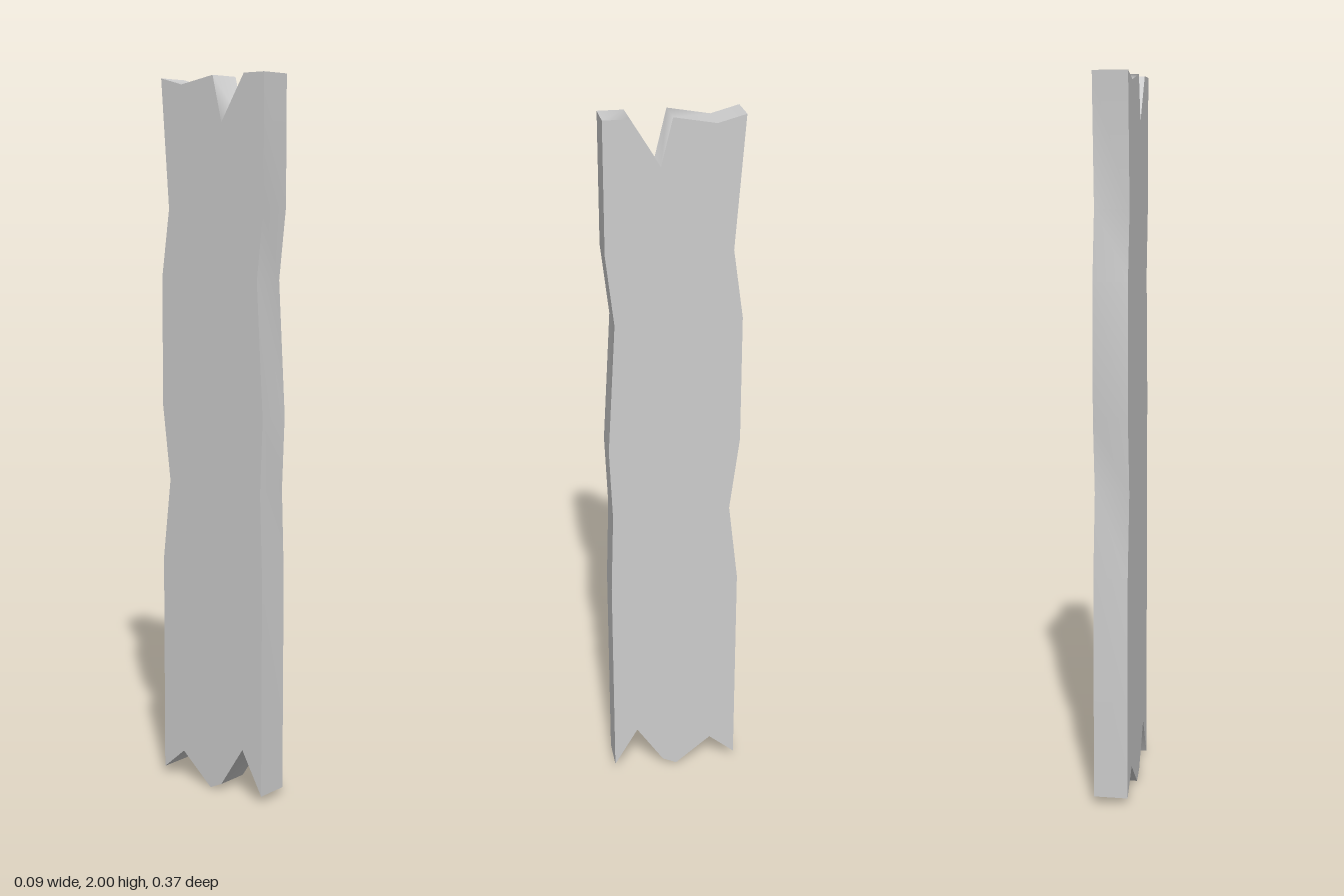
import * as THREE from 'three';

const HALF = 0.0475; // half thickness of the plank

// Outline runs, counterclockwise, as [-z, y] points
const bottomEnd = [[-0.183, 0.02], [-0.114, 0.14], [-0.036, 0.02], [0.005, 0], [0.108, 0.085], [0.183, 0.02]];
const backEdge = [[0.183, 0.02], [0.183, 0.65], [0.156, 0.88], [0.183, 1.095], [0.183, 1.455], [0.156, 1.645], [0.183, 2]];
const topEnd = [[0.183, 2], [0.108, 1.98], [-0.005, 2], [-0.036, 1.875], [-0.114, 2], [-0.183, 2]];
const frontEdge = [[-0.183, 2], [-0.183, 1.65], [-0.161, 1.455], [-0.183, 1.085], [-0.175, 0.88], [-0.183, 0.645], [-0.183, 0.02]];

// Smooth-shaded band across the thickness, following one run of the outline
function band(points) {
  const positions = [], index = [];
  points.forEach(([u, y], i) => {
    positions.push(HALF, y, -u, -HALF, y, -u);
    if (i < points.length - 1) {
      const a = i * 2;
      index.push(a, a + 1, a + 2, a + 2, a + 1, a + 3);
    }
  });
  const geometry = new THREE.BufferGeometry();
  geometry.setAttribute('position', new THREE.Float32BufferAttribute(positions, 3));
  geometry.setIndex(index);
  geometry.computeVertexNormals();
  return geometry;
}

// Flat broad face; side is +1 for the right-hand x direction, -1 for the other
function broadFace(outline, side) {
  const shape = new THREE.Shape(outline.map(([u, y]) => new THREE.Vector2(u * side, y)));
  return new THREE.ShapeGeometry(shape).rotateY(side * Math.PI / 2).translate(side * HALF, 0, 0);
}

export function createModel() {
  const plank = new THREE.Group();
  plank.name = 'plank';
  const material = new THREE.MeshStandardMaterial({ color: 0xcccccc });
  const add = (name, geometry) => {
    const mesh = new THREE.Mesh(geometry, material);
    mesh.name = name;
    plank.add(mesh);
  };

  // Broken ends and worn long edges
  const runs = { bottomEnd, backEdge, topEnd, frontEdge };
  for (const [name, points] of Object.entries(runs)) add(name, band(points));

  // Broad faces, closing the outline
  const outline = Object.values(runs).flatMap((points) => points.slice(0, -1));
  add('leftFace', broadFace(outline, 1));
  add('rightFace', broadFace(outline, -1));
  return plank;
}
